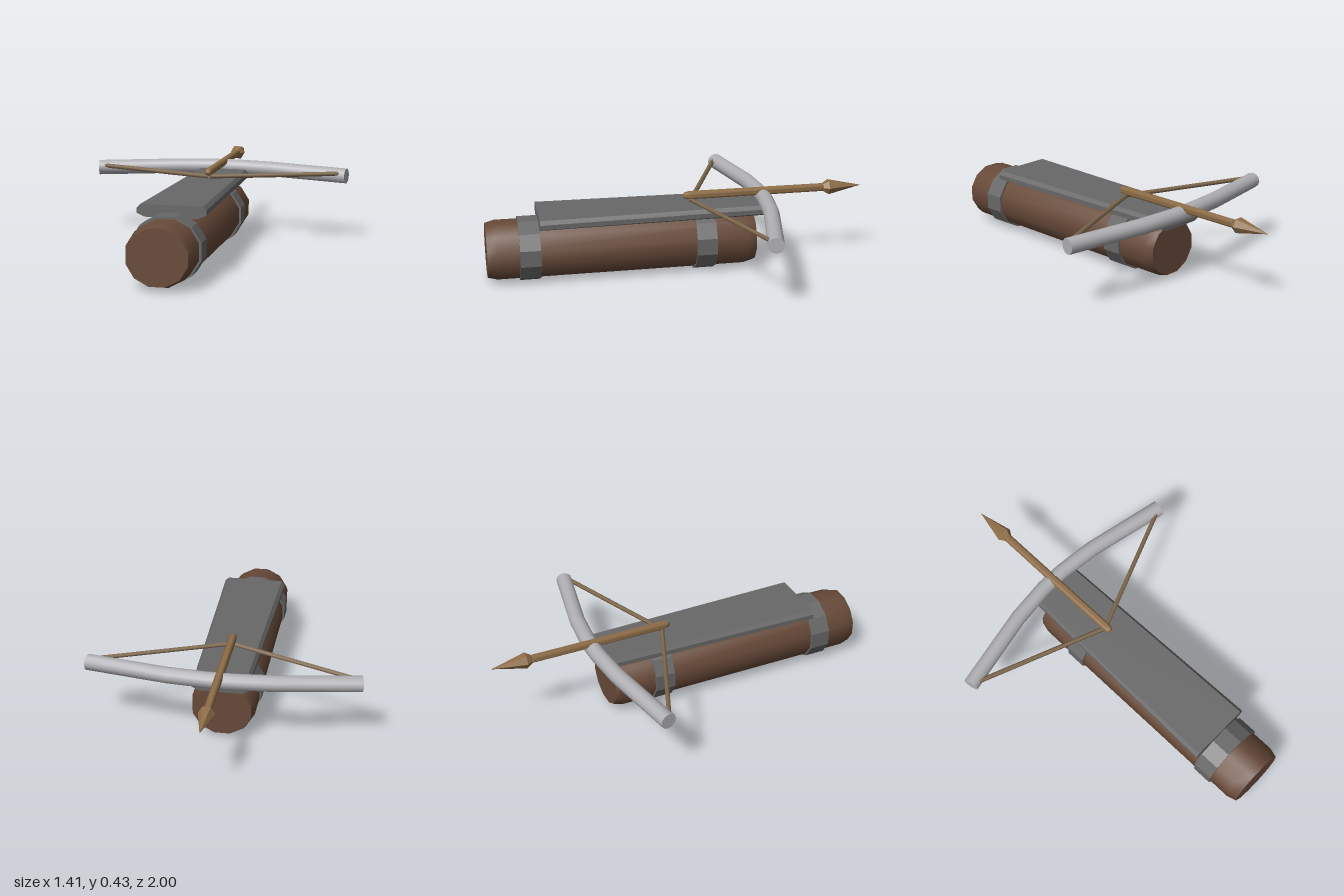
import * as THREE from 'three';
import { toCreasedNormals } from 'three/addons/utils/BufferGeometryUtils.js';

const mat = (color, flatShading = false) => new THREE.MeshStandardMaterial({ color, flatShading });
const wood = mat(0x684a39), iron = mat(0x686868, true), steel = mat(0xb0b0b4);
const boltWood = mat(0x8f6e48), cord = mat(0x80694d);

function add(group, name, geometry, material) {
  const mesh = new THREE.Mesh(geometry, material);
  mesh.name = name;
  group.add(mesh);
  return mesh;
}

// Solid turned around the z axis from [radius, z] pairs, flats facing up and sideways
function turned(profile, sides, crease) {
  const points = profile.map(([r, z]) => new THREE.Vector2(r, z));
  const g = new THREE.LatheGeometry(points, sides, Math.PI / sides);
  g.rotateX(Math.PI / 2);
  return toCreasedNormals(g, crease);
}

// Linear interpolation through knots at equal steps
function knot(list, t) {
  const i = Math.min(Math.floor(t), list.length - 2);
  return THREE.MathUtils.lerp(list[i], list[i + 1], t - i);
}

// Bow limbs: a cylinder bent back and drooping slightly at the tips
function bowGeometry() {
  const g = new THREE.CylinderGeometry(0.041, 0.041, 6, 12, 6);
  g.rotateZ(-Math.PI / 2);
  const xs = [0, 0.07, 0.27, 0.695], zs = [-0.462, -0.461, -0.441, -0.355];
  const ys = [0.363, 0.363, 0.36, 0.35], slopes = [0, 0.04, 0.15, 0.2];
  const p = g.attributes.position;
  for (let i = 0; i < p.count; i++) {
    const t = Math.min(Math.abs(p.getX(i)), 3), side = Math.sign(p.getX(i));
    const y = p.getY(i), z = p.getZ(i);
    p.setXYZ(i, side * (knot(xs, t) - z * knot(slopes, t)), knot(ys, t) + y, knot(zs, t) + z);
  }
  return toCreasedNormals(g, 0.8);
}

// Chamfered top plate that narrows toward the bow
function plateGeometry() {
  const half = [[0.13, 0.295], [0.17, 0.312], [0.17, 0.336], [0.153, 0.355]];
  const outline = [...half, ...half.map(([x, y]) => [-x, y]).reverse()];
  const shape = new THREE.Shape(outline.map(([x, y]) => new THREE.Vector2(x, y)));
  const g = new THREE.ExtrudeGeometry(shape, { depth: 1.185, bevelEnabled: false });
  g.translate(0, 0, -0.455);
  const p = g.attributes.position;
  for (let i = 0; i < p.count; i++) {
    if (p.getZ(i) < 0) p.setX(i, p.getX(i) * 0.82);
  }
  g.computeVertexNormals();
  return g;
}

export function createModel() {
  const model = new THREE.Group();
  model.name = 'wristCrossbow';

  // Wooden stock with softened ends
  const stock = add(model, 'stock', turned([
    [0, -0.4], [0.152, -0.4], [0.166, -0.35], [0.166, 0.95], [0.152, 1], [0, 1],
  ], 12, 0.75), wood);
  stock.scale.y = 0.93;
  stock.position.y = 0.16;

  // Iron bands around the stock
  for (const [name, z] of [['frontBand', 0.782], ['rearBand', -0.132]]) {
    const band = add(model, name, turned([
      [0, -0.053], [0.177, -0.053], [0.177, 0.053], [0, 0.053],
    ], 12, 0.1), iron);
    band.scale.y = 0.935;
    band.position.set(0, 0.16, z);
  }

  add(model, 'topPlate', plateGeometry(), iron);
  add(model, 'bow', bowGeometry(), steel);

  // Drawn string, one half per side
  const nock = new THREE.Vector3(0, 0.366, -0.075);
  for (const [name, side] of [['leftString', 1], ['rightString', -1]]) {
    const path = new THREE.LineCurve3(nock, new THREE.Vector3(side * 0.655, 0.364, -0.335));
    const string = add(model, name, new THREE.TubeGeometry(path, 1, 0.012, 6), cord);
    string.material.side = THREE.DoubleSide;
  }

  // Bolt with a rounded tail and a pointed head
  const bolt = new THREE.Group();
  bolt.name = 'bolt';
  bolt.position.y = 0.392;
  add(bolt, 'boltShaft', turned([
    [0, -0.83], [0.021, -0.83], [0.022, -0.07], [0.017, -0.042], [0, -0.03],
  ], 8, 0.9), boltWood);
  add(bolt, 'boltHead', turned([
    [0, -1], [0.041, -0.82], [0.022, -0.79], [0, -0.79],
  ], 6, 0.3), boltWood);
  model.add(bolt);

  return model;
}
